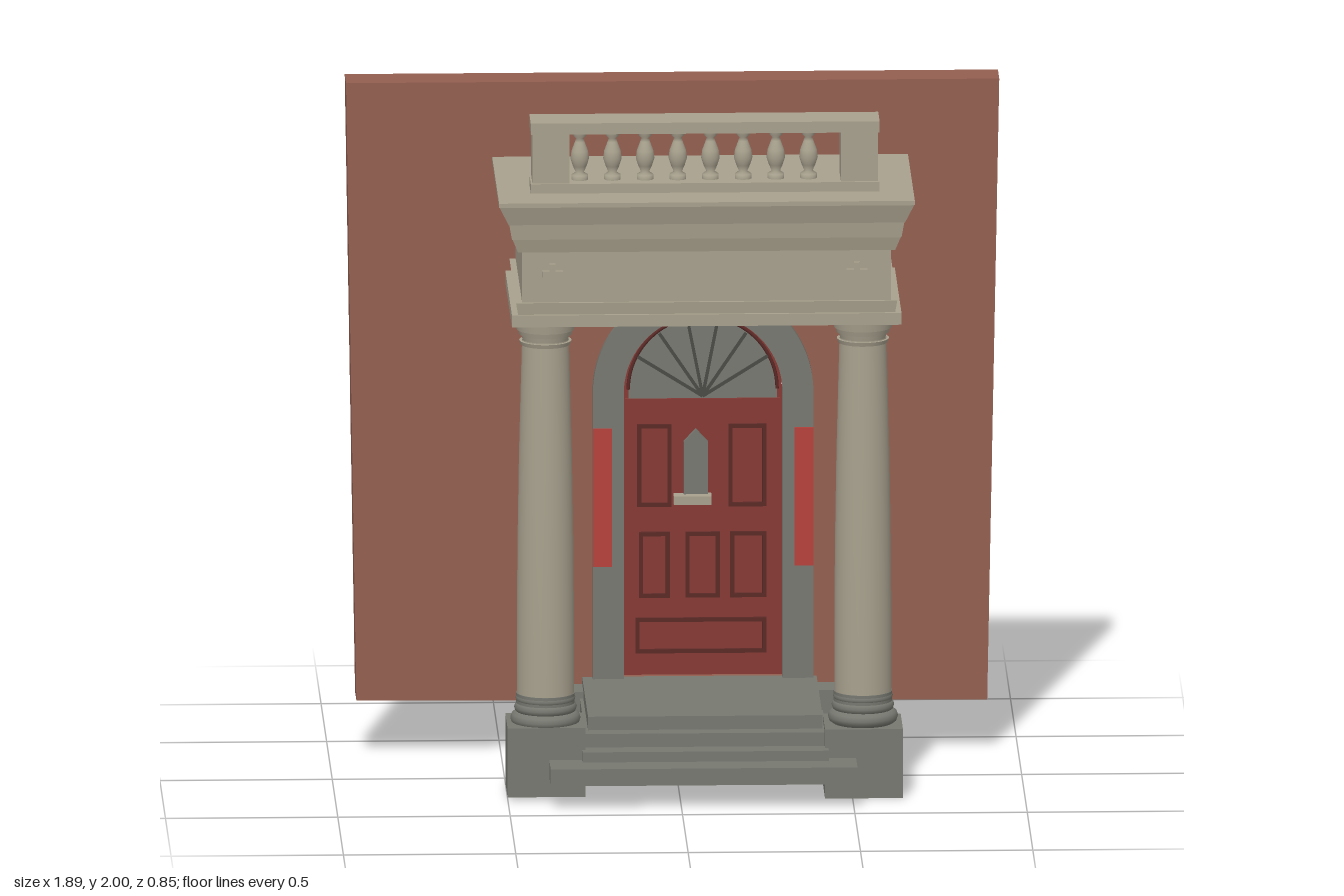
import * as THREE from 'three';

const paint = (name, color) => Object.assign(new THREE.MeshStandardMaterial({ color }), { name });

export function createModel() {
  const tan = paint('pale stone', 0xa8a18e);
  const grey = paint('grey stone', 0x777870);
  const brick = paint('brick', 0x935f50);
  const red = paint('door red', 0x863a35);
  const dark = paint('dark red trim', 0x5c2a27);
  const bright = paint('bright red', 0xb8423c);
  const bars = paint('glazing bars', 0x4a4b46);

  const model = new THREE.Group();
  model.name = 'porticoDoorway';

  const add = (name, geometry, material, x = 0, y = 0, z = 0) => {
    const mesh = new THREE.Mesh(geometry, material);
    mesh.name = name;
    mesh.position.set(x, y, z);
    model.add(mesh);
    return mesh;
  };
  // Box given by its limits on each axis
  const block = (name, mat, x0, x1, y0, y1, z0, z1) =>
    add(name, new THREE.BoxGeometry(x1 - x0, y1 - y0, z1 - z0), mat,
      (x0 + x1) / 2, (y0 + y1) / 2, (z0 + z1) / 2);
  const extrude = (name, mat, shape, z0, z1) =>
    add(name, new THREE.ExtrudeGeometry(shape, { depth: z1 - z0, bevelEnabled: false, curveSegments: 32 }),
      mat, 0, 0, z0);
  const polygon = points => new THREE.Shape(points.map(([x, y]) => new THREE.Vector2(x, y)));
  const rect = (x0, x1, y0, y1) => polygon([[x0, y0], [x1, y0], [x1, y1], [x0, y1]]);

  // Round-headed outline shared by wall opening, surround and door
  const cx = 0.085, spring = 1.08;
  const arch = (radius, bottom) => {
    const s = new THREE.Shape();
    s.moveTo(cx - radius, bottom);
    s.lineTo(cx + radius, bottom);
    s.lineTo(cx + radius, spring);
    s.absarc(cx, spring, radius, 0, Math.PI, false);
    s.lineTo(cx - radius, bottom);
    return s;
  };

  // Wall with arched opening
  const wall = polygon([[-0.92, 0.165], [0.91, 0.155], [0.945, 2], [-0.95, 2]]);
  wall.holes.push(arch(0.318, 0.22));
  extrude('wall', brick, wall, -0.425, -0.305);

  // Stone surround, open at the foot
  const surround = new THREE.Shape();
  surround.moveTo(cx + 0.23, 0.225);
  surround.lineTo(cx + 0.32, 0.225);
  surround.lineTo(cx + 0.32, spring);
  surround.absarc(cx, spring, 0.32, 0, Math.PI, false);
  surround.lineTo(cx - 0.32, 0.225);
  surround.lineTo(cx - 0.23, 0.225);
  surround.lineTo(cx - 0.23, spring);
  surround.absarc(cx, spring, 0.23, Math.PI, 0, true);
  extrude('doorSurround', grey, surround, -0.31, -0.275);

  // Door leaf with arched head
  const doorZ = -0.33;
  extrude('door', red, arch(0.23, 0.23), -0.355, doorZ);
  block('doorHeadRail', red, cx - 0.225, cx + 0.225, 1.03, 1.053, doorZ, doorZ + 0.015);

  // Panel mouldings
  const panels = [
    [-0.105, -0.005, 0.73, 0.975], [0.16, 0.27, 0.73, 0.975],
    [-0.1, -0.01, 0.46, 0.655], [0.035, 0.135, 0.46, 0.655], [0.165, 0.27, 0.46, 0.655],
    [-0.11, 0.27, 0.295, 0.4],
  ];
  for (const [x0, x1, y0, y1] of panels) {
    const ring = rect(x0, x1, y0, y1);
    ring.holes.push(rect(x0 + 0.012, x1 - 0.012, y0 + 0.012, y1 - 0.012));
    extrude('panelMoulding', dark, ring, doorZ, doorZ + 0.008);
  }

  // Pointed door light and its sill
  extrude('doorLight', grey,
    polygon([[0.03, 0.77], [0.1, 0.77], [0.1, 0.925], [0.065, 0.962], [0.03, 0.925]]), doorZ, doorZ + 0.02);
  block('doorLightSill', tan, 0, 0.11, 0.745, 0.77, doorZ, doorZ + 0.05);

  // Fanlight with radiating bars
  extrude('fanlight', grey, arch(0.215, 1.053), doorZ, doorZ + 0.008);
  const hub = new THREE.Vector2(cx, 1.06);
  for (const deg of [32, 56, 79, 101, 124, 148]) {
    const a = THREE.MathUtils.degToRad(deg);
    const length = 0.228 - 0.006 * Math.abs(Math.cos(a));
    add('fanlightBar', new THREE.BoxGeometry(length, 0.009, 0.008), bars,
      hub.x + Math.cos(a) * length / 2, hub.y + Math.sin(a) * length / 2, doorZ + 0.011).rotation.z = a;
  }
  add('fanlightRim', new THREE.TorusGeometry(0.216, 0.005, 6, 40, Math.PI), dark, cx, spring, doorZ + 0.008);

  // Bright plates on the surround
  block('rightPlate', bright, -0.235, -0.18, 0.565, 0.975, -0.275, -0.267);
  block('leftPlate', bright, 0.35, 0.405, 0.565, 0.975, -0.275, -0.267);

  // Steps and landing
  block('lowerStep', grey, -0.38, 0.51, 0.07, 0.12, -0.37, 0.425);
  block('middleStep', grey, -0.285, 0.43, 0.12, 0.15, -0.31, 0.335);
  block('upperStep', grey, -0.275, 0.42, 0.15, 0.19, -0.31, 0.27);
  block('landing', grey, -0.265, 0.415, 0.19, 0.23, -0.31, 0.22);
  block('rightFootBlock', grey, -0.31, -0.235, 0.14, 0.21, -0.305, -0.2);
  block('leftFootBlock', grey, 0.405, 0.48, 0.14, 0.21, -0.305, -0.2);

  // Columns on square pedestals
  const lathe = pts => new THREE.LatheGeometry(pts.map(([r, y]) => new THREE.Vector2(r, y)), 32);
  const shaft = lathe([[0.083, 0.29], [0.083, 0.5], [0.081, 0.75], [0.077, 1.0], [0.072, 1.2], [0.068, 1.35]]);
  const capitalParts = [[0.076, 1.335, 1.347], [0.07, 1.347, 1.365], [0.08, 1.365, 1.38], [0.088, 1.38, 1.41]];
  const baseRings = [[0.08, 0.022, 0.225], [0.073, 0.018, 0.258], [0.073, 0.014, 0.285]];
  for (const [side, x, foot, head] of [['right', -0.388, 0.01, 0.215], ['left', 0.533, 0, 0.205]]) {
    block(side + 'Pedestal', grey, x - 0.113, x + 0.113, foot, head, 0.095, 0.3);
    add(side + 'ColumnShaft', shaft, tan, x, 0, 0.198);
    add(side + 'ColumnBaseCore', new THREE.CylinderGeometry(0.085, 0.085, 0.1, 32), grey, x, 0.25, 0.198);
    for (const [r, tube, y] of baseRings) {
      add(side + 'ColumnBaseRing', new THREE.TorusGeometry(r, tube, 10, 32), grey, x, y, 0.198)
        .rotation.x = Math.PI / 2;
    }
    for (const [r, y0, y1] of capitalParts) {
      add(side + 'Capital', new THREE.CylinderGeometry(r, r - 0.004, y1 - y0, 32), tan, x, (y0 + y1) / 2, 0.198);
    }
  }

  // Entablature: stacked bands, each flaring from one projection to another
  const bands = [
    ['architraveLower', 1.405, 1.44, 0.03, 0.03],
    ['architraveUpper', 1.44, 1.475, 0.012, 0.018],
    ['frieze', 1.475, 1.625, 0, 0],
    ['bedMoulding', 1.625, 1.665, 0.012, 0.028],
    ['cove', 1.665, 1.71, 0.03, 0.038],
    ['corona', 1.71, 1.765, 0.04, 0.066],
    ['corniceTop', 1.765, 1.778, 0.068, 0.068],
  ];
  for (const [name, y0, y1, low, high] of bands) {
    const g = new THREE.BoxGeometry(1, 1, 1);
    const p = g.attributes.position;
    for (let i = 0; i < p.count; i++) {
      const top = p.getY(i) > 0;
      const out = top ? high : low;
      const forward = p.getZ(i) > 0 ? 0.275 + out * 0.6 : -0.305;
      p.setXYZ(i, 0.077 + Math.sign(p.getX(i)) * (0.535 + out), top ? y1 : y0, forward);
    }
    g.computeVertexNormals();
    add(name, g, tan);
  }

  // Cross ornaments on the frieze
  for (const x of [-0.37, 0.513]) {
    const w = 0.009, l = 0.03;
    extrude('friezeCross', tan, polygon([
      [x - w, 1.56 - l], [x + w, 1.56 - l], [x + w, 1.56 - w], [x + l, 1.56 - w],
      [x + l, 1.56 + w], [x + w, 1.56 + w], [x + w, 1.56 + l], [x - w, 1.56 + l],
      [x - w, 1.56 + w], [x - l, 1.56 + w], [x - l, 1.56 - w], [x - w, 1.56 - w],
    ]), 0.275, 0.286);
  }

  // Balustrade
  block('balustradeBase', tan, -0.432, 0.58, 1.792, 1.82, 0.122, 0.248);
  block('balustradeRail', tan, -0.432, 0.58, 1.967, 2, 0.122, 0.248);
  block('rightPier', tan, -0.427, -0.32, 1.82, 1.967, 0.132, 0.238);
  block('leftPier', tan, 0.468, 0.575, 1.82, 1.967, 0.132, 0.238);
  const baluster = lathe([[0.024, 0], [0.024, 0.014], [0.012, 0.022], [0.02, 0.04], [0.027, 0.062],
    [0.024, 0.085], [0.014, 0.112], [0.011, 0.122], [0.019, 0.13], [0.019, 0.147]]);
  for (let i = 0; i < 8; i++) add('baluster', baluster, tan, -0.288 + i * 0.0948, 1.82, 0.185);

  return model;
}
